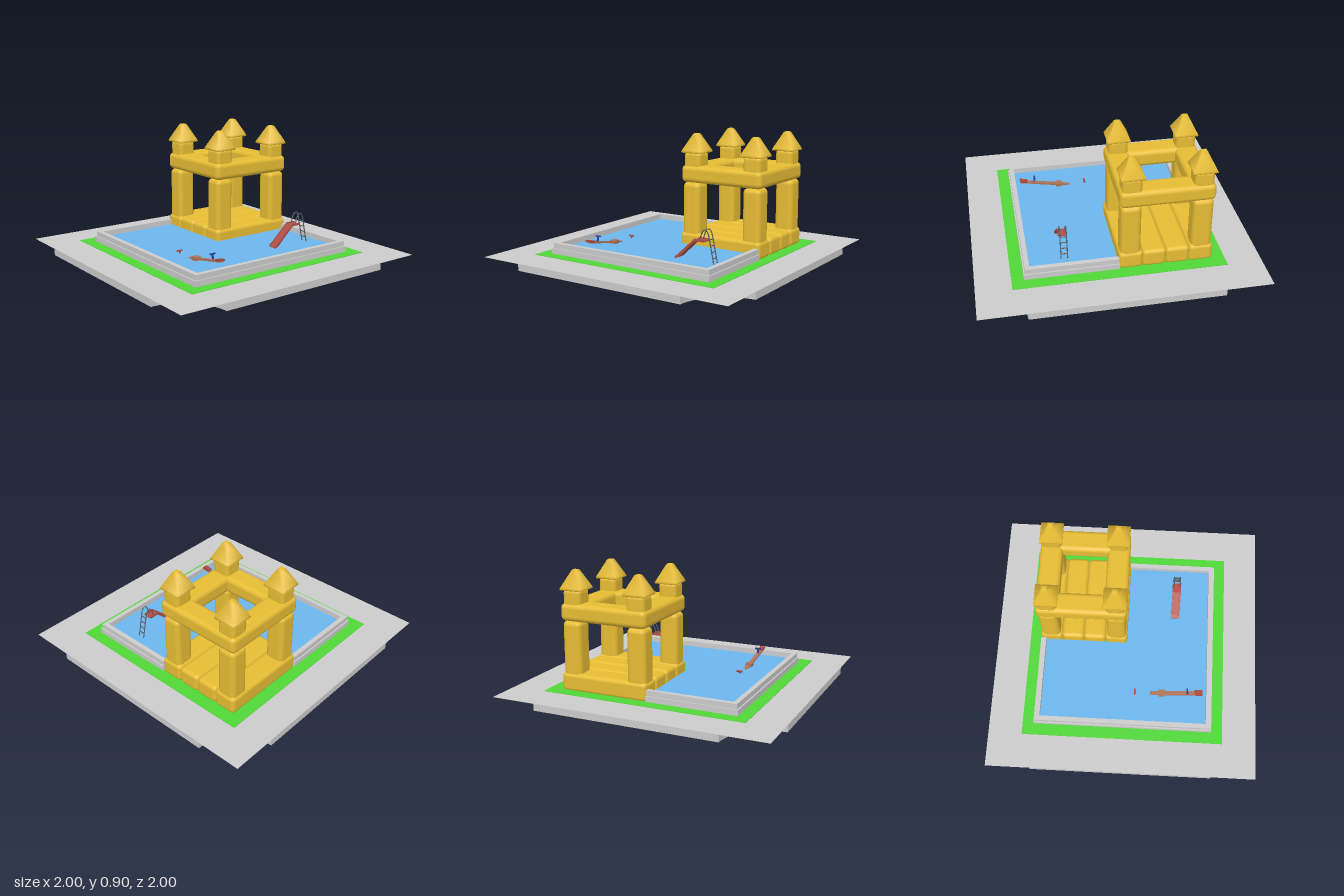
import * as THREE from 'three';
import { RoundedBoxGeometry } from 'three/addons/geometries/RoundedBoxGeometry.js';

const mat = (color, side = THREE.FrontSide) => new THREE.MeshStandardMaterial({ color, side });

function add(parent, name, geometry, material, x = 0, y = 0, z = 0) {
  const mesh = new THREE.Mesh(geometry, material);
  mesh.name = name;
  mesh.position.set(x, y, z);
  parent.add(mesh);
  return mesh;
}

// Horizontal slab of a plan shape (shape y = -z), from its bottom upwards
function slab(shape, height) {
  const g = new THREE.ExtrudeGeometry(shape, { depth: height, bevelEnabled: false, curveSegments: 8 });
  return g.rotateX(-Math.PI / 2);
}
const plan = (points) => new THREE.Shape(points.map(([x, z]) => new THREE.Vector2(x, -z)));

// Round rod along a path
function rod(points, radius) {
  const path = new THREE.CurvePath();
  const v = points.map((p) => new THREE.Vector3(...p));
  for (let i = 1; i < v.length; i++) path.add(new THREE.LineCurve3(v[i - 1], v[i]));
  return new THREE.TubeGeometry(path, points.length * 6, radius, 6);
}

function createGround(grey) {
  const ground = new THREE.Group();
  ground.name = 'ground';
  // Foundation with a quarter circle taken out of each corner
  const shape = new THREE.Shape();
  [[1, -1], [1, 1], [-1, 1], [-1, -1]].forEach(([x, y], k) => {
    const start = Math.PI * (1 + k / 2);
    shape.absarc(x, y, 0.33, start, start - Math.PI / 2, true);
  });
  add(ground, 'foundation', slab(shape, 0.048), grey);
  add(ground, 'paving', new THREE.BoxGeometry(2, 0.002, 2), grey, 0, 0.049, 0);
  add(ground, 'lawn', new THREE.BoxGeometry(1.5, 0.003, 1.5), mat(0x50d738), 0, 0.0515, 0);
  return ground;
}

function createPool(grey) {
  const pool = new THREE.Group();
  pool.name = 'pool';
  const i = 0.62;
  // Wall runs round three corners and leaves the fourth to the castle
  const wall = (o) => plan([[0, -o], [-o, -o], [-o, o], [o, o], [o, 0],
    [i, 0], [i, i], [-i, i], [-i, -i], [0, -i]]);
  add(pool, 'poolWall', slab(wall(0.665), 0.043), grey, 0, 0.05, 0);
  add(pool, 'poolRim', slab(wall(0.655), 0.037), grey, 0, 0.093, 0);
  const water = plan([[0, -i], [-i, -i], [-i, i], [i, i], [i, 0], [0, 0]]);
  add(pool, 'water', slab(water, 0.035), mat(0x6cb6ee), 0, 0.055, 0);
  return pool;
}

function createCastle() {
  const castle = new THREE.Group();
  castle.name = 'bouncyCastle';
  castle.position.set(0.33, 0, -0.33);
  const yellow = mat(0xe6bc34);
  const puff = (w, h, d, r) => new RoundedBoxGeometry(w, h, d, 3, r);

  // Inflated floor of four tubes
  for (let k = 0; k < 4; k++) {
    add(castle, 'floorTube', puff(0.66, 0.135, 0.17, 0.03), yellow, 0, 0.107, -0.2475 + k * 0.165);
  }
  // Square ring of top beams
  for (const s of [-1, 1]) {
    add(castle, 'topBeamAcross', puff(0.66, 0.125, 0.165, 0.035), yellow, 0, 0.607, s * 0.2475);
    add(castle, 'topBeamAlong', puff(0.165, 0.125, 0.66, 0.035), yellow, s * 0.2475, 0.607, 0);
  }
  // Corner towers: pillar, neck and pointed roof
  const roof = new THREE.LatheGeometry([[0, 0], [0.112, 0], [0.118, 0.006], [0.112, 0.018],
    [0.03, 0.134], [0.02, 0.14], [0, 0.142]].map(([x, y]) => new THREE.Vector2(x, y)), 4);
  roof.rotateY(Math.PI / 4);
  for (const sx of [-1, 1]) for (const sz of [-1, 1]) {
    add(castle, 'pillar', puff(0.142, 0.42, 0.142, 0.035), yellow, sx * 0.25, 0.335, sz * 0.25);
    add(castle, 'towerNeck', puff(0.138, 0.13, 0.138, 0.03), yellow, sx * 0.245, 0.705, sz * 0.245);
    add(castle, 'towerRoof', roof, yellow, sx * 0.243, 0.76, sz * 0.243);
  }
  return castle;
}

function createSlide() {
  const slide = new THREE.Group();
  slide.name = 'slide';
  slide.position.z = 0.367;
  const red = mat(0xb05048);
  const steel = mat(0x5a646c);
  // Chute profile, with raised edges at both sides
  const profile = (t) => new THREE.Shape([[0.22, 0.088], [0.25, 0.1], [0.385, 0.23], [0.455, 0.23],
    [0.455, 0.23 + t], [0.38, 0.23 + t], [0.24, 0.1 + t], [0.22, 0.088 + t]]
    .map((p) => new THREE.Vector2(...p)));
  const strip = (t, d) => new THREE.ExtrudeGeometry(profile(t), { depth: d, bevelEnabled: false });
  add(slide, 'chute', strip(0.008, 0.06), red, 0, 0, -0.03);
  for (const s of [-1, 1]) {
    add(slide, 'chuteEdge', strip(0.017, 0.005), red, 0, 0, s * 0.03 - 0.0025);
    const z = s * 0.023;
    add(slide, 'ladderRail', rod([[0.415, 0.235, z], [0.432, 0.285, z], [0.445, 0.308, z], [0.46, 0.315, z],
      [0.476, 0.308, z], [0.488, 0.28, z], [0.53, 0.085, z]], 0.004), steel);
  }
  // Ladder rungs
  for (let k = 0; k < 4; k++) {
    const y = 0.125 + k * 0.042;
    const x = 0.488 + (0.28 - y) * 0.215;
    add(slide, 'ladderRung', rod([[x, y, -0.023], [x, y, 0.023]], 0.004), steel);
  }
  return slide;
}

function createSeesaw() {
  const seesaw = new THREE.Group();
  seesaw.name = 'seesaw';
  seesaw.position.set(-0.393, 0.1, 0.285);
  const wood = mat(0xb07458);
  const red = mat(0xa8483c);
  const blue = mat(0x2c3c98);
  add(seesaw, 'pivot', new THREE.BoxGeometry(0.048, 0.03, 0.045), wood);

  // Tilted board with a seat and a handle at each end
  const board = new THREE.Group();
  board.name = 'tiltingBoard';
  board.rotation.x = -0.18;
  seesaw.add(board);
  add(board, 'plank', new THREE.BoxGeometry(0.03, 0.012, 0.6), wood);
  for (const s of [-1, 1]) {
    const paint = s > 0 ? blue : red;
    add(board, 'seat', new THREE.BoxGeometry(0.04, 0.012, 0.058), red, 0, 0.008, s * 0.281);
    add(board, 'handlePost', new THREE.BoxGeometry(0.012, 0.045, 0.008), paint, 0, 0.024, s * 0.2);
    add(board, 'handleBar', new THREE.BoxGeometry(0.044, 0.01, 0.01), paint, 0, 0.044, s * 0.2);
  }
  return seesaw;
}

export function createModel() {
  const model = new THREE.Group();
  model.name = 'poolPlayground';
  const grey = mat(0xcccccc);
  model.add(createGround(grey), createPool(grey), createCastle(), createSlide(), createSeesaw());
  return model;
}
